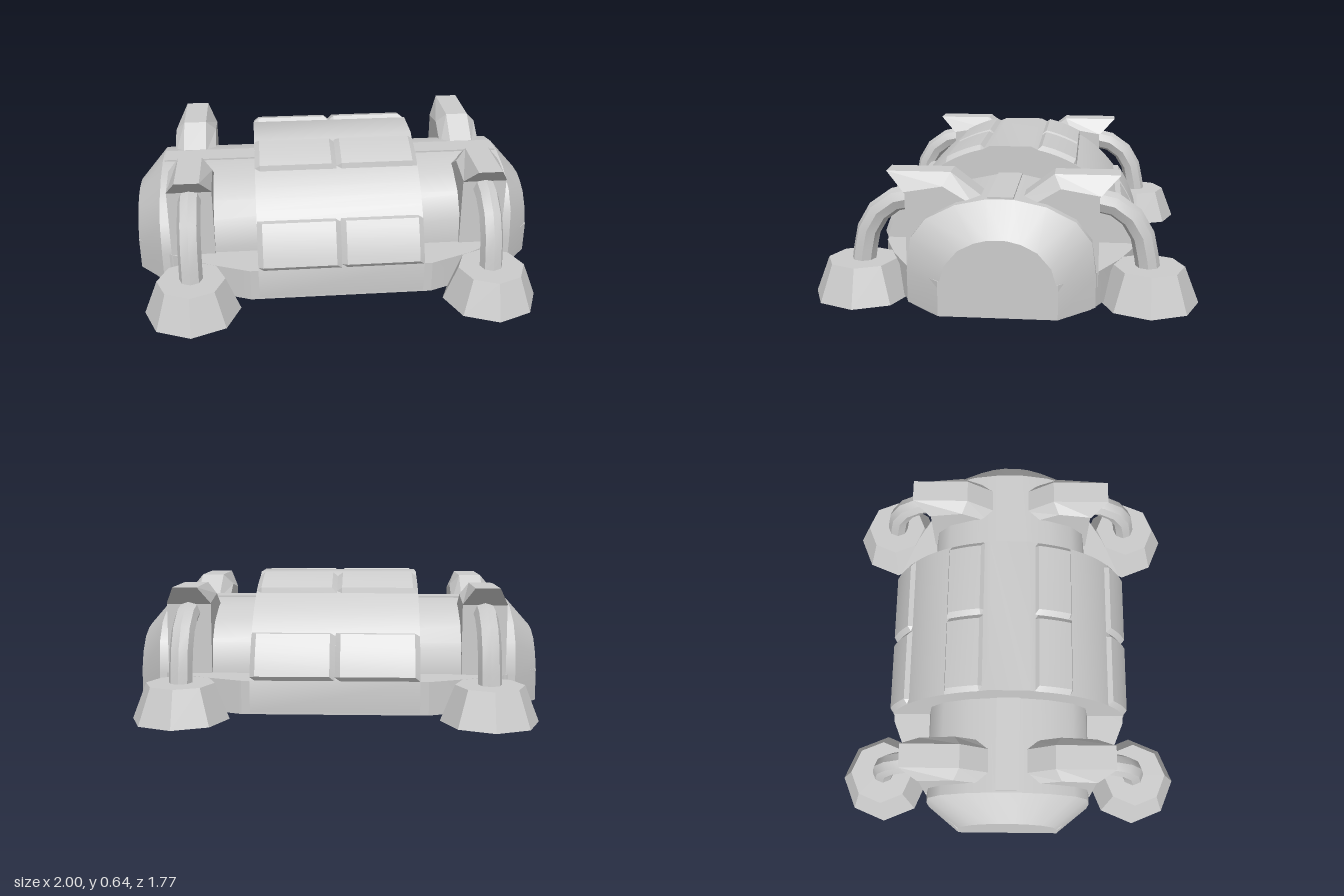
import * as THREE from 'three';
import { toCreasedNormals } from 'three/addons/utils/BufferGeometryUtils.js';

const material = new THREE.MeshStandardMaterial({ color: 0xcccccc });

function part(name, geometry, crease = 0.6) {
  const mesh = new THREE.Mesh(toCreasedNormals(geometry, crease), material);
  mesh.name = name;
  return mesh;
}

// Closed solid through rings of equal length; turned outward by its signed volume
function loft(rings) {
  const tris = [];
  const n = rings[0].length;
  for (let r = 0; r < rings.length - 1; r++) {
    for (let i = 0; i < n; i++) {
      const j = (i + 1) % n;
      const a = rings[r][i], b = rings[r][j], c = rings[r + 1][j], d = rings[r + 1][i];
      tris.push([a, b, c], [a, c, d]);
    }
  }
  const cap = (ring, flip) => {
    const mid = [0, 1, 2].map(k => ring.reduce((s, p) => s + p[k], 0) / n);
    ring.forEach((p, i) => {
      const q = ring[(i + 1) % n];
      tris.push(flip ? [mid, q, p] : [mid, p, q]);
    });
  };
  cap(rings[0], true);
  cap(rings[rings.length - 1], false);
  const v = p => new THREE.Vector3(...p);
  const volume = tris.reduce((s, [a, b, c]) => s + v(a).dot(v(b).cross(v(c))), 0);
  if (volume < 0) tris.forEach(t => t.reverse());
  const geometry = new THREE.BufferGeometry();
  geometry.setAttribute('position', new THREE.Float32BufferAttribute(tris.flat(2), 3));
  return geometry;
}

// Mirror a half profile of [z, y] points across z = 0
const mirrored = half => [...half, ...half.map(([z, y]) => [-z, y]).reverse()];
const atX = (x, profile) => profile.map(([z, y]) => [x, y, z]);

// Arc of [z, y] points, angle in degrees above the z axis
function arc(radius, from, to, steps) {
  return Array.from({ length: steps + 1 }, (_, i) => {
    const a = THREE.MathUtils.degToRad(from + (to - from) * i / steps);
    return [radius * Math.cos(a), radius * Math.sin(a)];
  });
}

function createBase() {
  const half = [[1, 0.26], [0.87, 0.4], [0.64, 0.53], [0.44, 0.61]];
  const right = [...half, ...half.map(([x, z]) => [-x, z]).reverse()];
  const outline = [...right, ...right.map(([x, z]) => [x, -z]).reverse()];
  return part('base', loft([0.01, 0.17].map(y => outline.map(([x, z]) => [x, y, z]))), 0.2);
}

// Rounded hull with bevelled ends
function createHull() {
  const full = mirrored([[0.42, 0.02], [0.42, 0.17], [0.4, 0.32], [0.33, 0.41], [0.2, 0.475], [0.06, 0.505]]);
  const end = mirrored([[0.26, 0.02], [0.26, 0.14], [0.23, 0.24], [0.17, 0.31], [0.1, 0.345], [0.04, 0.36]]);
  return part('hull', loft([atX(-1, end), atX(-0.87, full), atX(0.87, full), atX(1, end)]));
}

function createShell() {
  const profile = mirrored([[0.61, 0.02], ...arc(0.64, 15.5, 77.8, 12), [0.1, 0.643]]);
  return part('centralShell', loft([atX(-0.4, profile), atX(0.4, profile)]));
}

// Raised curved panel with bevelled edges
function createPanel(name, x, from, to) {
  const section = (dx, radius, inset) => atX(x + dx, [
    ...arc(0.6, from, to, 5),
    ...arc(0.638, to, from, 5).slice(0, 1),
    ...arc(radius, to - inset, from + inset, 5),
    ...arc(0.638, to, from, 5).slice(-1)
  ]);
  return part(name, loft([
    section(-0.2, 0.64, 1.6), section(-0.175, 0.661, 1.6),
    section(0.175, 0.661, 1.6), section(0.2, 0.64, 1.6)
  ]), 0.25);
}

// Horned bracket, pipe and foot for one corner, facing +z
function createLeg(name) {
  const leg = new THREE.Group();
  leg.name = name;

  const side = [[0.43, 0.1], [0.43, 0.51], [0.435, 0.515], [0.26, 0.545], [0.12, 0.46], [0.12, 0.1]];
  const middle = [[0.43, 0.1], [0.43, 0.51], [0.52, 0.6], [0.23, 0.6], [0.08, 0.485], [0.08, 0.1]];
  leg.add(part('bracket', loft([
    atX(-0.107, side), atX(-0.058, middle), atX(0.058, middle), atX(0.107, side)
  ]), 0.1));

  const path = new THREE.CurvePath();
  const points = [[0.66, 0.12], [0.615, 0.335], [0.525, 0.44], [0.4, 0.475]]
    .map(([z, y]) => new THREE.Vector3(0, y, z));
  const curve = new THREE.CatmullRomCurve3(points);
  leg.add(part('pipe', new THREE.TubeGeometry(curve, 5, 0.055, 8), 0.5));

  const foot = part('foot', new THREE.CylinderGeometry(0.16, 0.227, 0.17, 8));
  foot.position.set(0, 0.085, 0.66);
  leg.add(foot);
  return leg;
}

export function createModel() {
  const model = new THREE.Group();
  model.name = 'model';
  model.add(createBase(), createHull(), createShell());

  // Ridge strips along the top of the hull
  for (const s of [1, -1]) {
    const ridge = part('topRidge', new THREE.BoxGeometry(0.48, 0.04, 0.115));
    ridge.position.set(s * 0.62, 0.493, 0);
    model.add(ridge);
  }

  // Upper and lower panels, front and back
  for (const turn of [0, Math.PI]) {
    const panels = new THREE.Group();
    panels.name = turn ? 'backPanels' : 'frontPanels';
    panels.rotation.y = turn;
    for (const x of [-0.2, 0.2]) {
      panels.add(createPanel('lowerPanel', x, 15.5, 37), createPanel('upperPanel', x, 60, 78.5));
    }
    model.add(panels);
  }

  // Four corner legs
  for (const s of [1, -1]) {
    for (const front of [true, false]) {
      const leg = createLeg(`${front ? 'front' : 'back'}${s > 0 ? 'Left' : 'Right'}Leg`);
      leg.position.x = s * 0.715;
      leg.rotation.y = front ? 0 : Math.PI;
      model.add(leg);
    }
  }
  return model;
}
